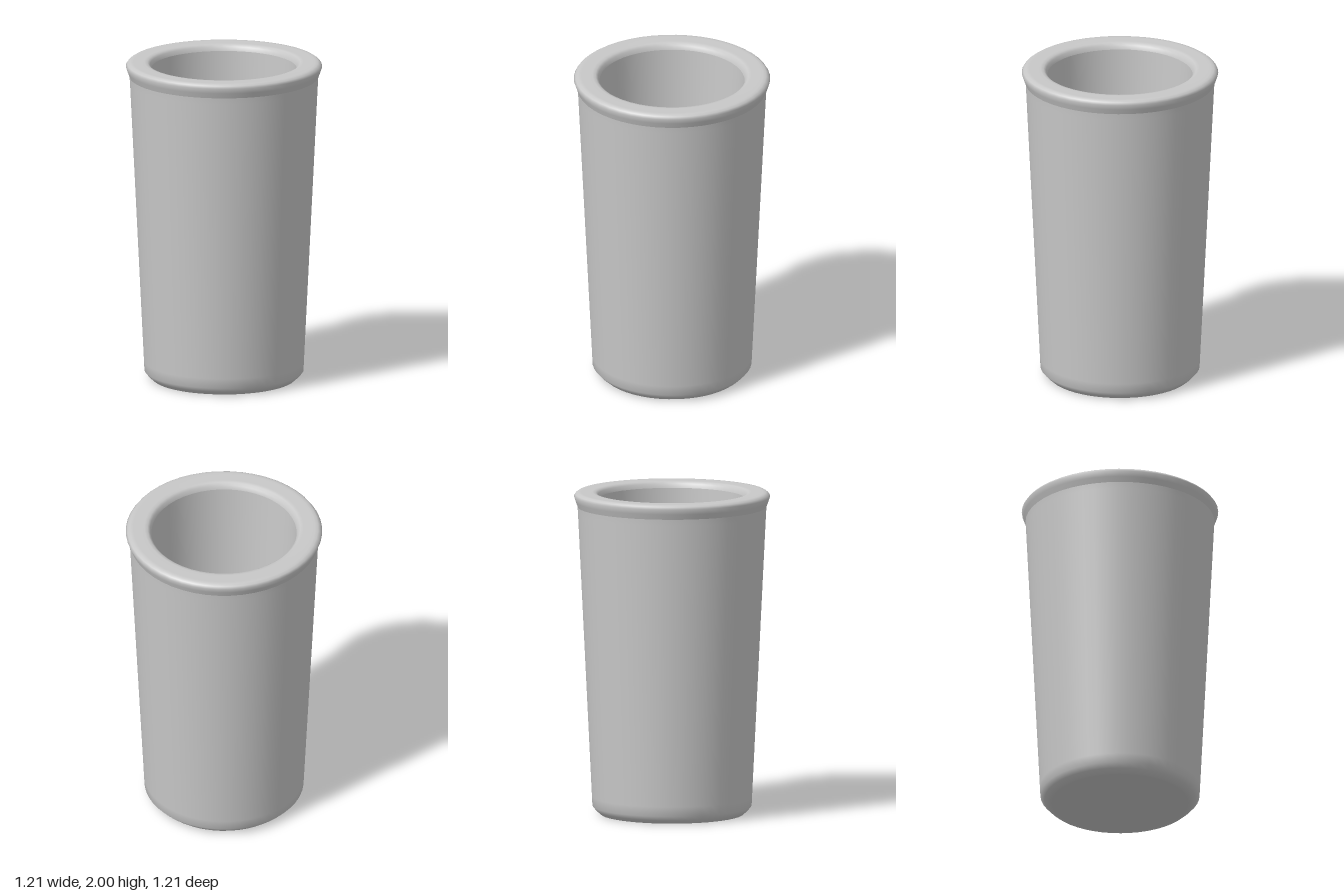
import * as THREE from 'three';

const SEGMENTS = 48;

// Turns [radius, height] pairs into a revolved mesh.
function revolve(name, profile, material) {
  const points = profile.map(([r, y]) => new THREE.Vector2(r, y));
  const mesh = new THREE.Mesh(new THREE.LatheGeometry(points, SEGMENTS), material);
  mesh.name = name;
  return mesh;
}

export function createModel() {
  const group = new THREE.Group();
  group.name = 'cup';

  const grey = new THREE.MeshStandardMaterial({ color: 0xc8c8c8 });
  grey.name = 'light grey';

  // Flat base with a bevelled foot, rising into the tapered wall
  group.add(revolve('outerWall', [
    [0, 0], [0.42, 0], [0.44, 0], [0.465, 0.022], [0.49, 0.05],
    [0.493, 0.11], [0.579, 1.87], [0.582, 1.91],
  ], grey));

  // Flared lip, flat on top and rounded into the opening
  group.add(revolve('rim', [
    [0.582, 1.91], [0.594, 1.943], [0.605, 1.975], [0.595, 1.99], [0.58, 2],
    [0.56, 2], [0.49, 2], [0.47, 1.997], [0.455, 1.985], [0.447, 1.96],
  ], grey));

  // Tapered cavity with a softened corner at the floor
  group.add(revolve('innerWall', [
    [0.447, 1.96], [0.445, 1.92], [0.365, 0.24], [0.36, 0.18],
    [0.34, 0.145], [0.32, 0.13], [0.3, 0.13], [0, 0.13],
  ], grey));

  return group;
}
